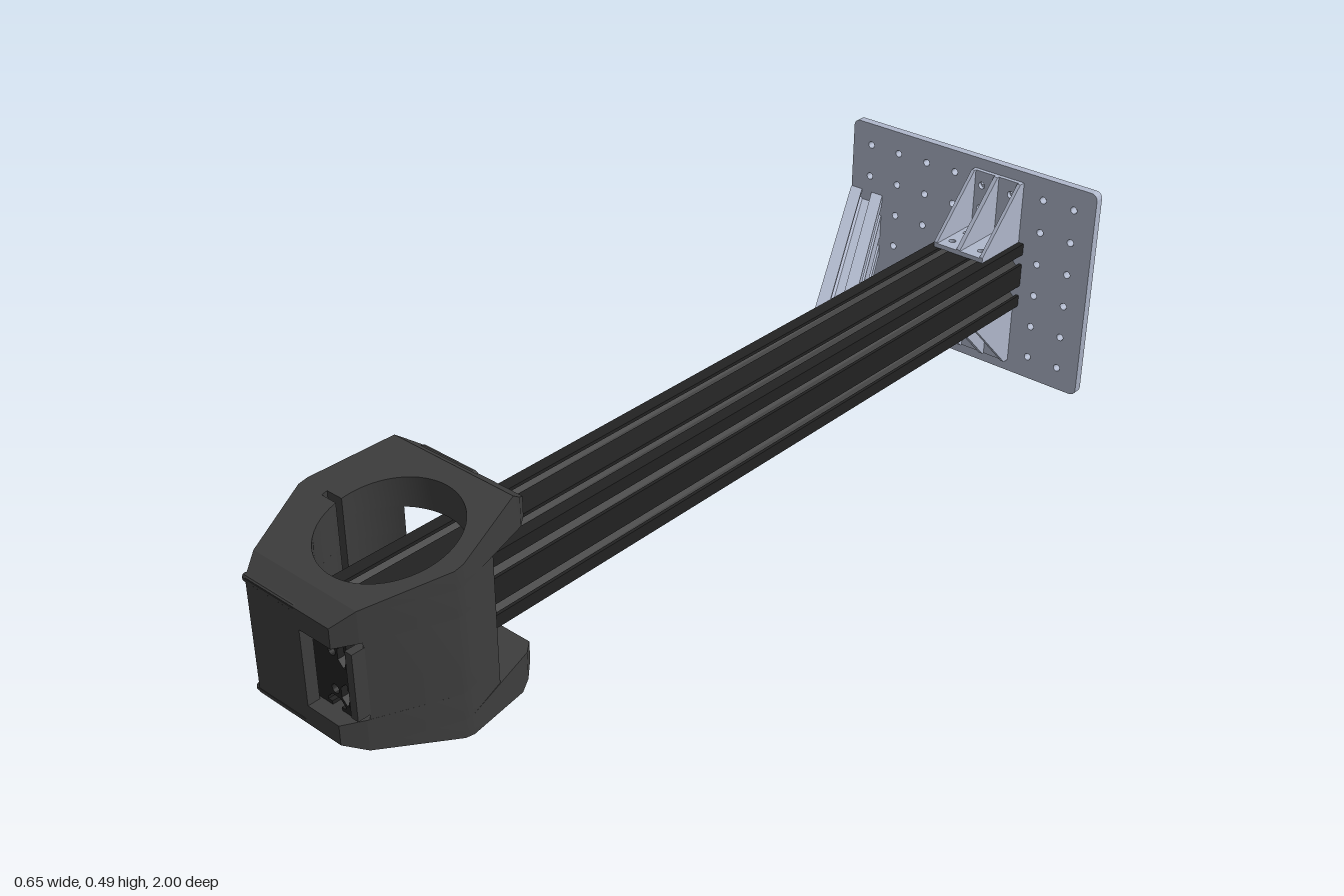
import * as THREE from 'three';
import { toCreasedNormals } from 'three/addons/utils/BufferGeometryUtils.js';

const steel = new THREE.MeshStandardMaterial({ color: 0xb0b8cc });
steel.name = 'pale steel';
const black = new THREE.MeshStandardMaterial({ color: 0x222222 });
black.name = 'black anodised';
const plastic = new THREE.MeshStandardMaterial({ color: 0x3d3d3d });
plastic.name = 'dark plastic';

const M = 0.0775;                 // profile module
const BX = 0, BY = 0.17;          // lower corner of the beam section
const MID = BY + M;               // mirror height of the whole arm

const shapeOf = (pts) => new THREE.Shape(pts.map(([x, y]) => new THREE.Vector2(x, y)));
const addHole = (shape, x, y, r) => {
  const p = new THREE.Path();
  p.absarc(x, y, r, 0, Math.PI * 2, true);
  shape.holes.push(p);
};
const extrude = (shape, depth) =>
  new THREE.ExtrudeGeometry(shape, { depth, bevelEnabled: false, curveSegments: 10 });

function mesh(geo, mat, name, parent) {
  const m = new THREE.Mesh(toCreasedNormals(geo, 0.5), mat);
  m.name = name;
  parent.add(m);
  return m;
}

// Moves every vertex by a rule (x, y, z) => [x, y, z]
function warp(geo, rule) {
  const p = geo.attributes.position;
  for (let i = 0; i < p.count; i++) p.setXYZ(i, ...rule(p.getX(i), p.getY(i), p.getZ(i)));
  return geo;
}

// T-slot section: one slot per module on every side, one bore per module
function slotSection(cols, rows) {
  const half = [[-0.012, 0], [-0.012, 0.007], [-0.022, 0.007], [-0.022, 0.012], [-0.01, 0.024]];
  const slot = [...half, ...half.map(([s, d]) => [-s, d]).reverse()];
  const w = cols * M, h = rows * M, pts = [];
  const sides = [[0, 0, 1, 0, cols], [w, 0, 0, 1, rows], [w, h, -1, 0, cols], [0, h, 0, -1, rows]];
  for (const [x, y, dx, dy, n] of sides) {
    pts.push([x, y]);
    for (let i = 0; i < n; i++) {
      for (const [s, d] of slot) {
        const a = (i + 0.5) * M + s;
        pts.push([x + dx * a - dy * d, y + dy * a + dx * d]);
      }
    }
  }
  const shape = shapeOf(pts);
  for (let i = 0; i < cols; i++)
    for (let j = 0; j < rows; j++) addHole(shape, (i + 0.5) * M, (j + 0.5) * M, 0.009);
  return shape;
}

// Perforated wall plate with rounded corners
function wallPlate(parent) {
  const s = new THREE.Shape(), x = 0.324, h = 0.493, r = 0.015;
  s.absarc(x - r, r, r, -Math.PI / 2, 0);
  s.absarc(x - r, h - r, r, 0, Math.PI / 2);
  s.absarc(-x + r, h - r, r, Math.PI / 2, Math.PI);
  s.absarc(-x + r, r, r, Math.PI, Math.PI * 1.5);
  for (let i = 0; i < 8; i++)
    for (let j = 0; j < 6; j++) addHole(s, -0.273 + i * 0.0777, 0.053 + j * 0.0777, 0.008);
  mesh(extrude(s, 0.02).translate(0, 0, -1), steel, 'wallPlate', parent);
}

// Diagonal brace, mitred against the plate and the beam side
function brace(parent) {
  const c = 0.861, s = 0.509;
  const geo = warp(extrude(slotSection(1, 2), 1), (u, v, t) => {
    const a = u * s / c, b = (0.325 - c * u) / s;
    const d = a + (b - a) * t;
    return [-0.325 + c * u + s * d, BY + v, -0.98 - s * u + c * d];
  });
  mesh(geo, steel, 'diagonalBrace', parent);
}

// Ribbed corner bracket; side = 1 above the beam, -1 below
function bracket(side, parent) {
  const g = new THREE.Group();
  g.name = side > 0 ? 'upperBracket' : 'lowerBracket';
  const flange = () => {
    const s = shapeOf([[-0.064, 0], [0.064, 0], [0.064, 0.143], [-0.064, 0.143]]);
    for (const x of [-0.038, 0.038]) for (const y of [0.055, 0.11]) addHole(s, x, y, 0.008);
    return extrude(s, 0.01);
  };
  mesh(flange(), steel, 'backFlange', g);
  mesh(flange().rotateX(Math.PI / 2).translate(0, 0.01, 0), steel, 'beamFlange', g);
  const rib = shapeOf([[0, 0], [-0.143, 0], [-0.143, 0.012], [-0.015, 0.143], [0, 0.143]]);
  for (const [x, w] of [[-0.064, 0.008], [-0.005, 0.01], [0.056, 0.008]])
    mesh(extrude(rib, w).rotateY(Math.PI / 2).translate(x, 0, 0), steel, 'rib', g);
  g.position.set(BX + M, MID + side * M, -0.98);
  if (side < 0) g.rotation.z = Math.PI;
  parent.add(g);
}

// Clamp head: slabs of plan shapes around a vertical bore
const CX = 0.077, CZ = 0.8, R = 0.128;
function arc(a0, a1, n) {
  return Array.from({ length: n + 1 }, (_, i) => {
    const a = a0 + (a1 - a0) * i / n;
    return [CX + R * Math.cos(a), CZ + R * Math.sin(a)];
  });
}
function topY(z) {
  if (z < 0.63) return 0.42 + (z - 0.585) / 0.045 * 0.033;
  if (z < 0.96) return 0.453 - (z - 0.63) / 0.33 * 0.065;
  return 0.388 - (z - 0.96) / 0.04 * 0.023;
}
function slab(pts, lo, hi, hole) {
  const plan = (list) => list.map(([x, z]) => [x, -z]);
  const s = shapeOf(plan(pts));
  if (hole) s.holes.push(new THREE.Path(plan(hole).map(([x, y]) => new THREE.Vector2(x, y))));
  const geo = extrude(s, 1).rotateX(-Math.PI / 2);
  return warp(geo, (x, t, z) => [x, lo(z) + (hi(z) - lo(z)) * t, z]);
}

function clampHead(parent) {
  const g = new THREE.Group();
  g.name = 'clampHead';
  const PI = Math.PI, A = 0.896;
  const slit = [[-0.088, 0.794], [-0.088, 0.806]];
  const keyhole = [...arc(PI - 0.05, -PI + 0.05, 56), ...slit];
  const backStrip = [[-0.085, 0.585], [0.17, 0.585], [0.19, 0.61], [0.196, 0.63], [-0.1, 0.63], [-0.095, 0.61]];
  const plan = [[-0.1, 0.63], [0.196, 0.63], [0.245, 0.79], [0.245, 0.81], [0.178, 0.96],
    [-0.08, 0.96], [-0.145, 0.81], [-0.145, 0.79]];
  const frontStrip = [[-0.08, 0.96], [0.178, 0.96], [0.155, 1], [-0.055, 1]];
  const leftArc = [...arc(PI + A, PI + 0.05, 12), ...slit];
  const cShape = [[-0.119, 0.7], ...leftArc, ...arc(PI - 0.05, -A, 44), [0.216, 0.7],
    [0.245, 0.79], [0.245, 0.81], [0.178, 0.96], [-0.08, 0.96], [-0.145, 0.81], [-0.145, 0.79]];

  // Upper and lower halves
  for (const side of [1, -1]) {
    const both = (pts, lo, hi, name, hole) => {
      const f = (h) => (z) => side > 0 ? h(z) : 2 * MID - h(z);
      const a = f(lo), b = f(hi);
      mesh(side > 0 ? slab(pts, a, b, hole) : slab(pts, b, a, hole), plastic, name, g);
    };
    both(backStrip, () => 0.38, topY, 'rearLip');
    both(plan, () => 0.38, topY, 'boredCap', keyhole);
    both(frontStrip, () => 0.325, topY, 'frontLip');
    both(cShape, () => 0.325, () => 0.38, 'shoulder');

    // Rounded strap bars on the front and rear
    for (const [z, h] of [[0.992, 0.36], [0.6, 0.425]]) {
      const bar = new THREE.CapsuleGeometry(0.009, 0.125, 4, 10).rotateZ(PI / 2);
      mesh(bar.translate(0.003, MID + side * (h - MID), z), plastic, 'strapBar', g);
    }
  }

  // Walls either side of the beam, leaving the front window open
  const lo = () => BY, hi = () => BY + 2 * M;
  const rightWall = [[-0.119, 0.7], ...leftArc, ...arc(PI - 0.05, 2.216, 10), [0, 0.975], [0.077, 0.975],
    [0.077, 1], [-0.055, 1], [-0.08, 0.96], [-0.145, 0.81], [-0.145, 0.79]];
  const a = Math.acos((0.18 - CX) / R);
  const leftWall = [[0.18, 0.7], ...arc(-a, a, 12), [0.18, 0.955], [0.245, 0.81], [0.245, 0.79], [0.216, 0.7]];
  mesh(slab(rightWall, lo, hi), plastic, 'rightWall', g);
  mesh(slab(leftWall, lo, hi), plastic, 'leftWall', g);
  const tab = new THREE.BoxGeometry(0.017, 0.135, 0.07).translate(0.1725, MID, 0.945);
  mesh(tab, plastic, 'windowTab', g);
  parent.add(g);
}

export function createModel() {
  const model = new THREE.Group();
  model.name = 'wallArm';
  wallPlate(model);
  mesh(extrude(slotSection(2, 2), 1.95).translate(BX, BY, -0.98), black, 'beam', model);
  brace(model);
  bracket(1, model);
  bracket(-1, model);
  clampHead(model);
  return model;
}
